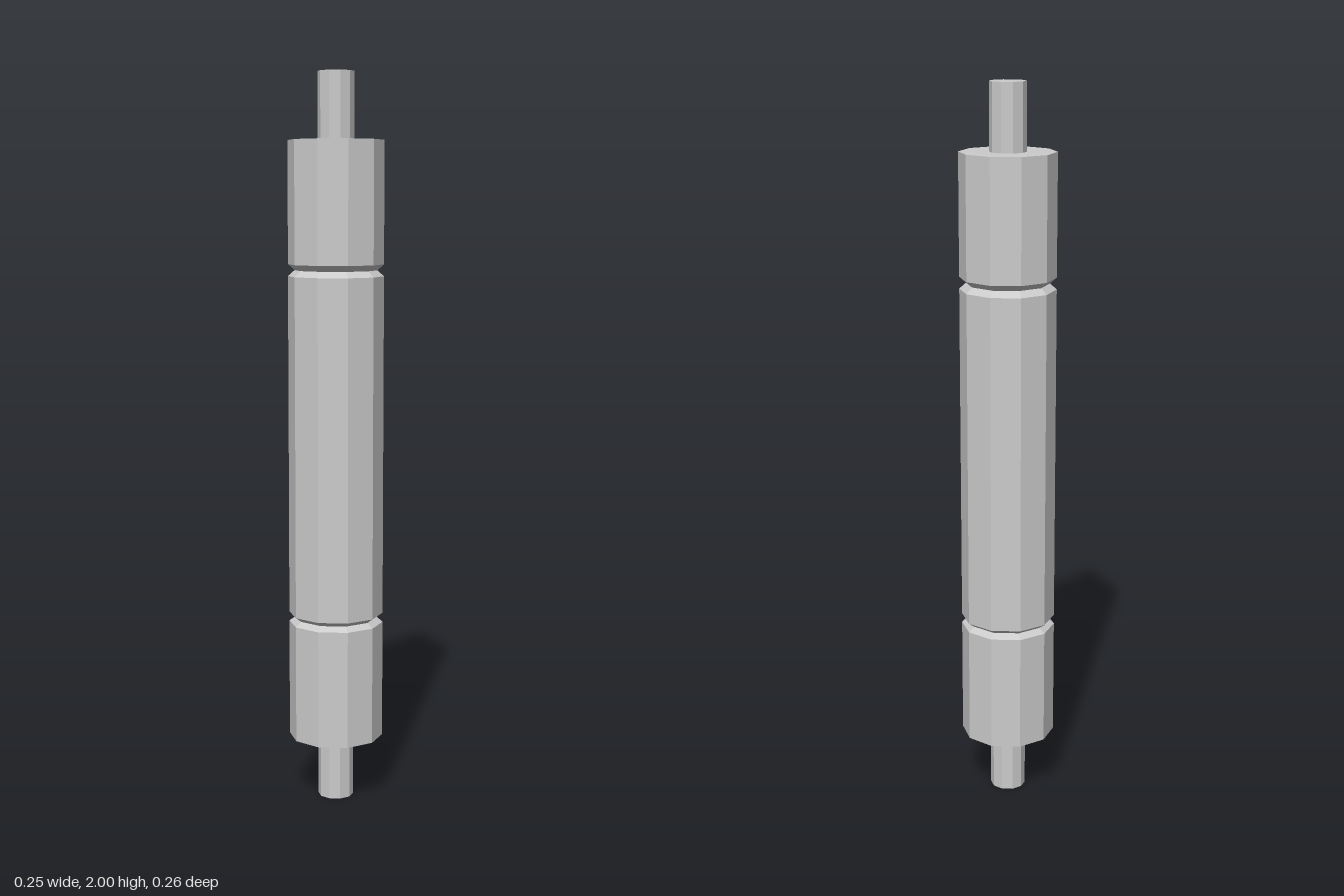
import * as THREE from 'three';

const SIDES = 10;
const BODY_R = 0.13, GROOVE_R = 0.112, PIN_R = 0.049;
const BODY_BOTTOM = 0.175, BODY_TOP = 1.82;

export function createModel() {
  const group = new THREE.Group();
  const material = new THREE.MeshStandardMaterial({ color: 0xcccccc, flatShading: true });

  const add = (name, geometry, y = 0) => {
    const mesh = new THREE.Mesh(geometry, material);
    mesh.name = name;
    mesh.position.y = y;
    group.add(mesh);
  };

  // Ten-sided roller body with two V-shaped grooves, turned from one profile
  const profile = [[0, BODY_BOTTOM], [BODY_R, BODY_BOTTOM]];
  for (const [low, high] of [[0.5, 0.526], [1.458, 1.49]]) {
    profile.push([BODY_R, low], [GROOVE_R, (low + high) / 2], [BODY_R, high]);
  }
  profile.push([BODY_R, BODY_TOP], [0, BODY_TOP]);
  add('rollerBody', new THREE.LatheGeometry(profile.map(([r, y]) => new THREE.Vector2(r, y)), SIDES));

  // Axle pins at both ends
  for (const [name, from, to] of [['lowerPin', 0, BODY_BOTTOM], ['upperPin', BODY_TOP, 2]]) {
    add(name, new THREE.CylinderGeometry(PIN_R, PIN_R, to - from, SIDES), (from + to) / 2);
  }

  return group;
}
